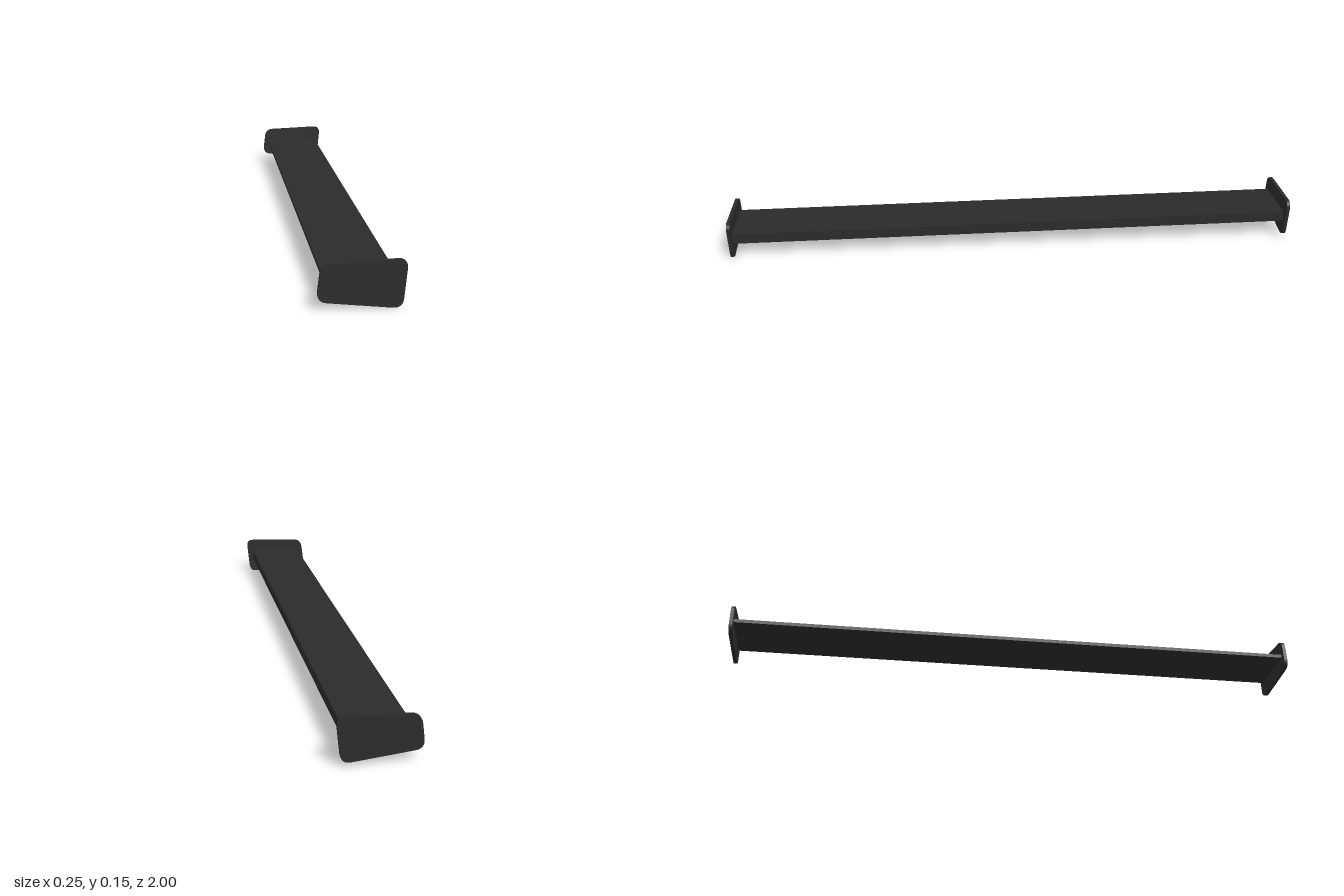
import * as THREE from 'three';

const RISE = 0.0125; // height gained from the front end to the back end

// Closed shape through the given corners, each rounded with distance r
function roundedPolygon(points, r) {
  const corners = points.map(([x, y]) => new THREE.Vector2(x, y));
  const n = corners.length;
  const toward = (a, b) => b.clone().sub(a).setLength(r).add(a);
  const shape = new THREE.Shape();
  corners.forEach((c, i) => {
    const start = toward(c, corners[(i + n - 1) % n]);
    const end = toward(c, corners[(i + 1) % n]);
    if (i === 0) shape.moveTo(start.x, start.y);
    else shape.lineTo(start.x, start.y);
    shape.quadraticCurveTo(c.x, c.y, end.x, end.y);
  });
  shape.closePath();
  return shape;
}

export function createModel() {
  const group = new THREE.Group();
  const black = new THREE.MeshStandardMaterial({ color: 0x2b2b2b });
  black.name = 'matteBlack';

  // Blade: wedge section, thick along +x, sheared so it climbs to the back
  const section = new THREE.Shape([
    [0.1, 0.055], [0.1, 0.091], [-0.105, 0.081], [-0.105, 0.069],
  ].map(([x, y]) => new THREE.Vector2(x, y)));
  const bladeGeometry = new THREE.ExtrudeGeometry(section, { depth: 1.98, bevelEnabled: false });
  bladeGeometry.translate(0, 0, -0.99);
  const pos = bladeGeometry.attributes.position;
  for (let i = 0; i < pos.count; i++) {
    pos.setY(i, pos.getY(i) + RISE * (1 - pos.getZ(i)) / 2);
  }
  bladeGeometry.computeVertexNormals();
  const blade = new THREE.Mesh(bladeGeometry, black);
  blade.name = 'wingBlade';
  group.add(blade);

  // End plates: the same rounded outline at both ends
  const outline = roundedPolygon([
    [-0.13, 0.0255], [0.113, -0.002], [0.128, 0.1425], [-0.117, 0.133],
  ], 0.03);
  const plateGeometry = new THREE.ExtrudeGeometry(outline, {
    depth: 0.012, bevelEnabled: false, curveSegments: 8,
  });
  for (const [name, y, z] of [['frontEndPlate', 0, 0.988], ['backEndPlate', RISE, -1]]) {
    const plate = new THREE.Mesh(plateGeometry, black);
    plate.name = name;
    plate.position.set(0, y, z);
    group.add(plate);
  }
  return group;
}
